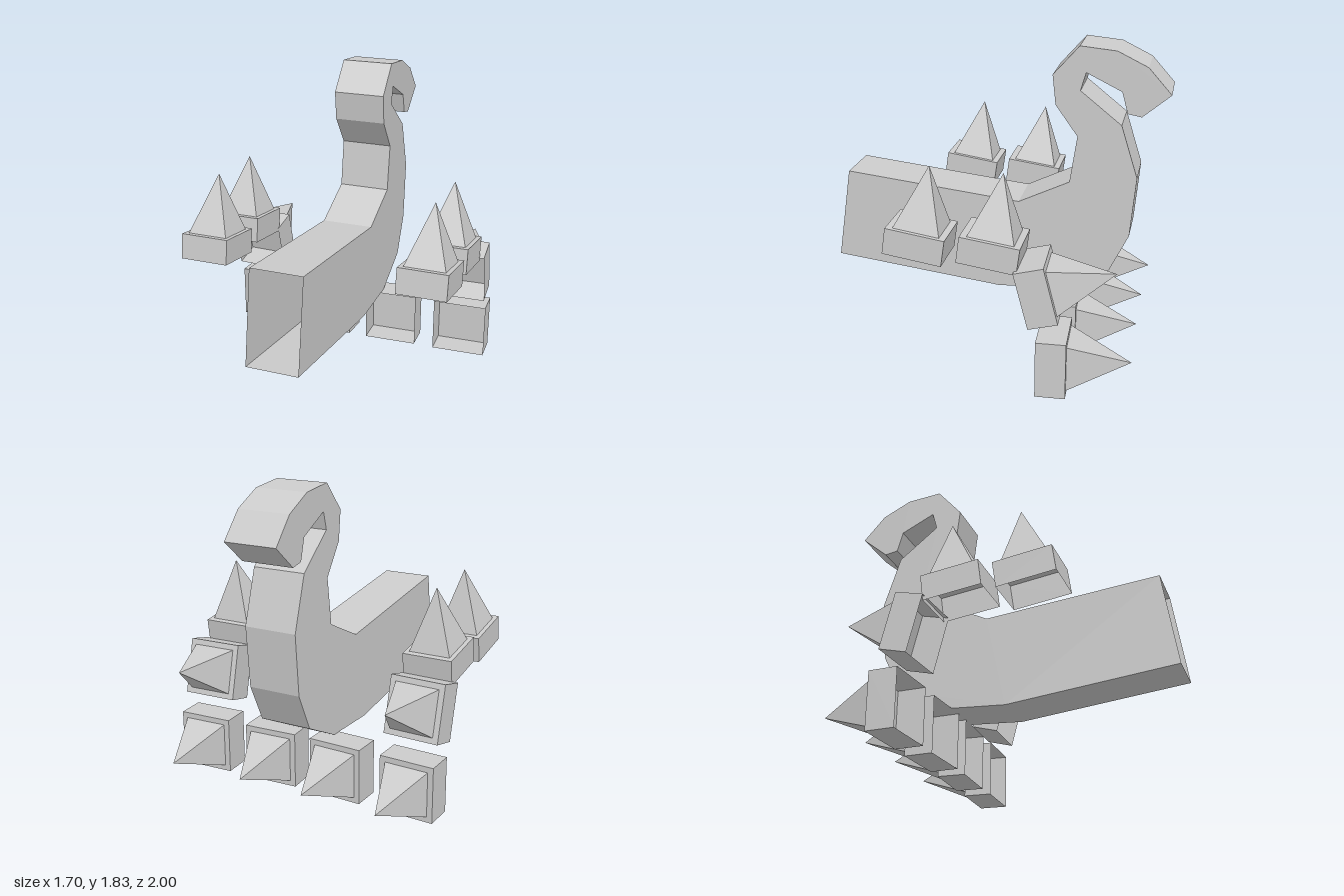
import * as THREE from 'three';

const material = new THREE.MeshStandardMaterial({ color: 0xcccccc, flatShading: true, side: THREE.DoubleSide });

// Body outline as [z, y], from the lower front edge round to the upper front edge
const OUTLINE = [
  [1, 0.445], [-0.02, 0.325], [-0.41, 0.345], [-0.69, 0.49], [-0.8, 0.72], [-0.83, 1.08],
  [-0.73, 1.39], [-0.49, 1.58], [-0.52, 1.685], [-0.725, 1.585], [-0.76, 1.46], [-0.84, 1.445],
  [-1, 1.58], [-0.865, 1.73], [-0.69, 1.815], [-0.48, 1.835], [-0.33, 1.665], [-0.35, 1.49],
  [-0.48, 1.31], [-0.44, 1.03], [-0.14, 0.885], [0.915, 1],
];

// Curled body: an extruded outline left open at the front
function makeBody() {
  const width = 0.314;
  const shape = new THREE.Shape(OUTLINE.map(([z, y]) => new THREE.Vector2(z, y)));
  const solid = new THREE.ExtrudeGeometry(shape, { depth: width, bevelEnabled: false });
  solid.rotateY(-Math.PI / 2).translate(width / 2, 0, 0);
  const flat = solid.index ? solid.toNonIndexed() : solid;
  const p = flat.attributes.position;
  const kept = [];
  for (let i = 0; i < p.count; i += 3) {
    const isFrontWall = [0, 1, 2].every((k) => p.getZ(i + k) > 0.9);
    if (!isFrontWall) kept.push(i, i + 1, i + 2);
  }
  flat.setIndex(kept);
  const body = new THREE.Mesh(flat, material);
  body.name = 'curledBody';
  return body;
}

// Claw: a hollow block open below with a pyramid on top; its origin is where they meet
function makeClaw(name, { width, length, depth, pw, pl, height }) {
  const claw = new THREE.Group();
  claw.name = name;

  const box = new THREE.BoxGeometry(width, depth, length).translate(0, -depth / 2, 0);
  const index = Array.from(box.index.array);
  index.splice(18, 6); // drop the lower face
  box.setIndex(index);
  box.clearGroups();
  const block = new THREE.Mesh(box, material);
  block.name = 'clawBlock';

  const cone = new THREE.ConeGeometry(Math.SQRT1_2, 1, 4, 1, true);
  cone.rotateY(Math.PI / 4).scale(pw, height, pl).translate(0, height / 2, 0);
  const spike = new THREE.Mesh(cone, material);
  spike.name = 'clawSpike';

  claw.add(block, spike);
  return claw;
}

const UPRIGHT = { width: 0.297, length: 0.337, depth: 0.153, pw: 0.245, pl: 0.264, height: 0.354 };
const REAR = { width: 0.332, length: 0.335, depth: 0.17, pw: 0.265, pl: 0.268, height: 0.352 };

// Claws on the left side: position, backward tilt and inward yaw
const CLAWS = [
  { name: 'upperFrontClaw', size: UPRIGHT, at: [0.672, 0.905, 0.305], tilt: 0.145, yaw: 0 },
  { name: 'upperMiddleClaw', size: UPRIGHT, at: [0.672, 0.892, -0.11], tilt: 0.135, yaw: 0 },
  { name: 'slantedRearClaw', size: REAR, at: [0.677, 0.62, -0.443], tilt: 1.32, yaw: 0.04 },
  { name: 'lowerOuterClaw', size: REAR, at: [0.677, 0.173, -0.532], tilt: Math.PI / 2, yaw: 0.045 },
  { name: 'lowerInnerClaw', size: REAR, at: [0.217, 0.173, -0.52], tilt: Math.PI / 2, yaw: 0.045 },
];

export function createModel() {
  const model = new THREE.Group();
  model.name = 'curledBodyWithClaws';
  model.add(makeBody());

  // Mirror each claw to both sides
  for (const { name, size, at, tilt, yaw } of CLAWS) {
    for (const side of [1, -1]) {
      const claw = makeClaw(name + (side > 0 ? 'Left' : 'Right'), size);
      claw.position.set(side * at[0], at[1], at[2]);
      claw.rotation.set(-tilt, side * yaw, 0, 'YXZ');
      model.add(claw);
    }
  }
  return model;
}
